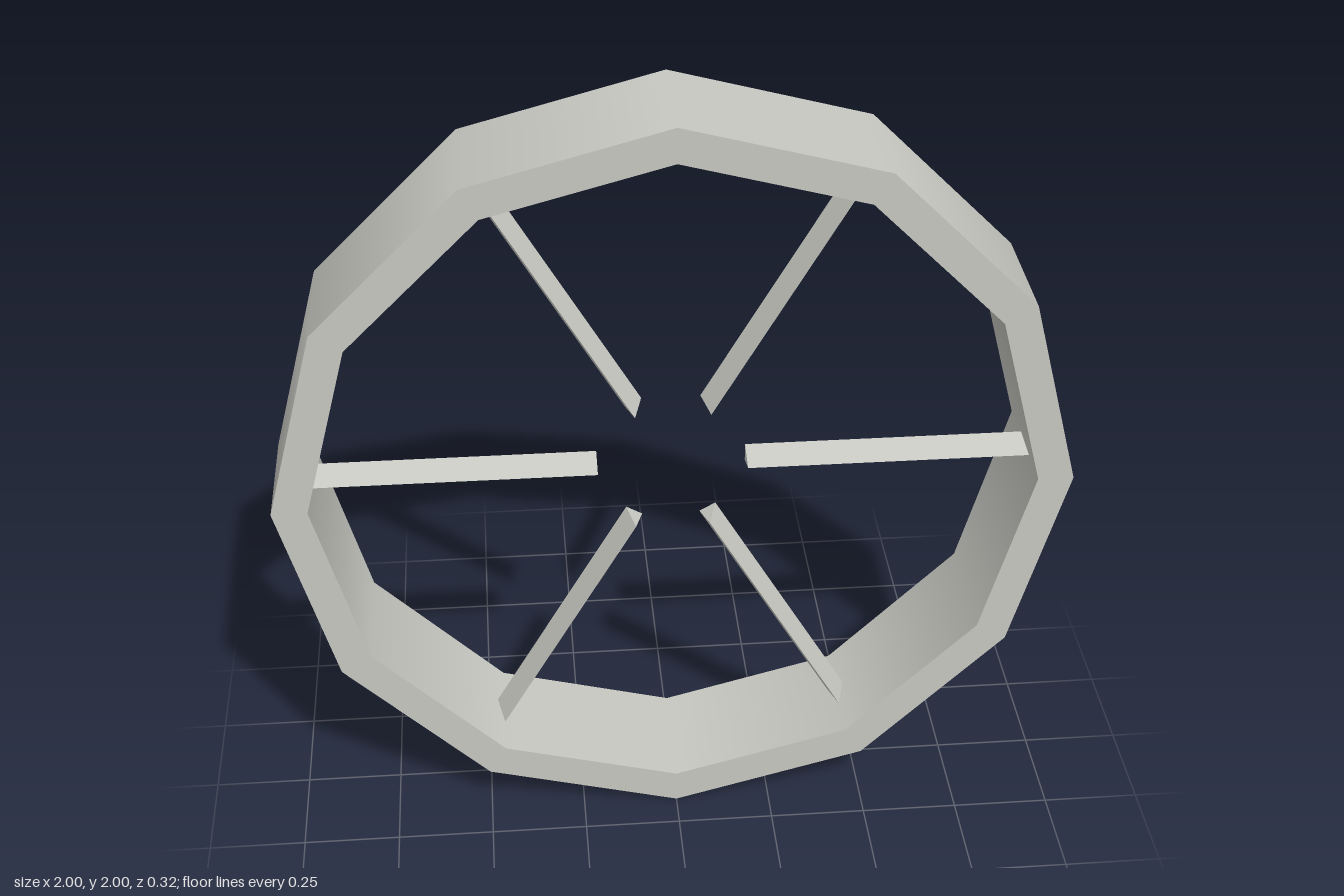
import * as THREE from 'three';
import { mergeGeometries } from 'three/addons/utils/BufferGeometryUtils.js';

const SIDES = 12, OUTER = 1, INNER = 0.91, HALF_DEPTH = 0.16;
const SPOKES = 6, SPOKE_START = 0.19, SPOKE_END = 0.91;

// Twelve-sided band: each wall is its own lathe strip, so the rims stay sharp
function rimGeometry() {
  const profile = [
    [OUTER, -HALF_DEPTH], [OUTER, HALF_DEPTH],
    [INNER, HALF_DEPTH], [INNER, -HALF_DEPTH],
  ].map(([r, y]) => new THREE.Vector2(r, y));
  const strips = profile.map((p, i) =>
    new THREE.LatheGeometry([p, profile[(i + 1) % profile.length]], SIDES));
  return mergeGeometries(strips).rotateX(Math.PI / 2);
}

// Slim triangular prism pointing up, with its sharp edge towards the front
function spokeGeometry() {
  const length = SPOKE_END - SPOKE_START;
  const geometry = new THREE.CylinderGeometry(0.05, 0.05, length, 3)
    .scale(0.55, 1, 1)
    .translate(0, SPOKE_START + length / 2, 0)
    .toNonIndexed();
  geometry.computeVertexNormals();
  return geometry;
}

export function createModel() {
  const model = new THREE.Group();
  model.name = 'spokedWheel';
  const metal = new THREE.MeshStandardMaterial({ color: 0xc8c8c2 });
  metal.name = 'paleGrey';

  const wheel = new THREE.Group();
  wheel.name = 'wheel';
  wheel.position.y = OUTER;
  model.add(wheel);

  const rim = new THREE.Mesh(rimGeometry(), metal);
  rim.name = 'rim';
  wheel.add(rim);

  // Spokes reach inwards from every second corner of the rim
  const spokeShape = spokeGeometry();
  for (let i = 0; i < SPOKES; i++) {
    const spoke = new THREE.Mesh(spokeShape, metal);
    spoke.name = `spoke${i + 1}`;
    spoke.rotation.z = (i / SPOKES) * Math.PI * 2 - Math.PI / 2;
    wheel.add(spoke);
  }
  return model;
}
